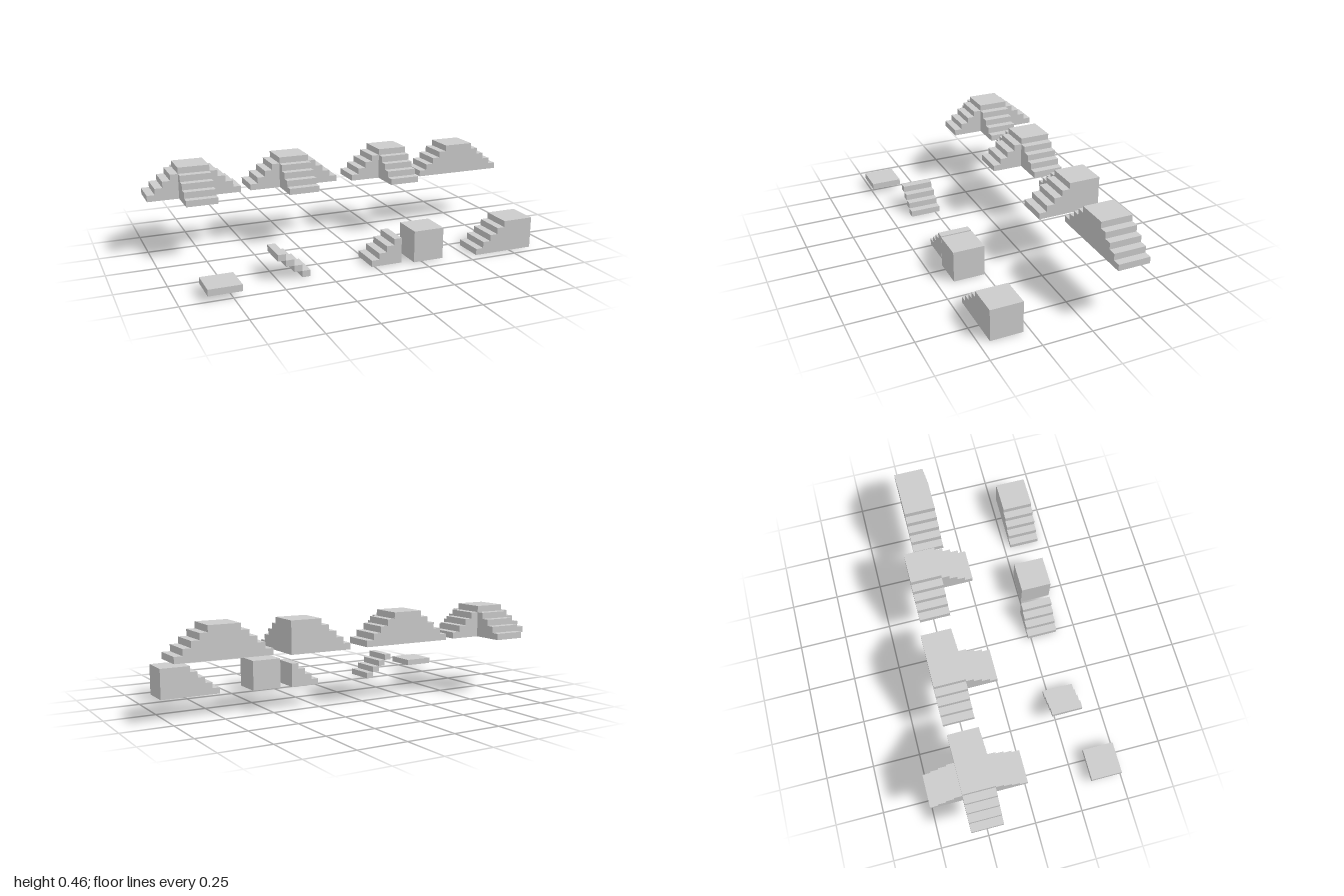
import * as THREE from 'three';

const U = 0.163;        // module size: every piece fits a cube of this size
const H = U / 2;
const STEPS = 4;
const TREAD = U / STEPS;
const RISE = U / (STEPS + 1);
const material = new THREE.MeshStandardMaterial({ color: 0xcccccc, flatShading: true });

function mesh(name, geometry) {
  const m = new THREE.Mesh(geometry, material);
  m.name = name;
  return m;
}

// Stepped outline going down and outwards from |x| = H to |x| = H + U
function stepPoints(side) {
  const pts = [];
  for (let i = 0; i < STEPS; i++) {
    const y = (STEPS - i) * RISE;
    pts.push([side * (H + i * TREAD), y], [side * (H + (i + 1) * TREAD), y]);
  }
  pts.push([side * (H + U), 0]);
  return pts;
}

// Extrude an outline one module deep, centred on z
function prism(name, pts) {
  const shape = new THREE.Shape(pts.map(([x, y]) => new THREE.Vector2(x, y)));
  const geometry = new THREE.ExtrudeGeometry(shape, { depth: U, bevelEnabled: false });
  geometry.translate(0, 0, -H);
  return mesh(name, geometry);
}

// Solid flight beside a core cube; angle 0 descends towards +x
function flight(name, angle) {
  const m = prism(name, [[H, 0], ...stepPoints(1)]);
  m.rotation.y = angle;
  return m;
}

// Core cube with solid steps on its left (-x) and / or right (+x) end
function run(name, minusX, plusX) {
  const right = plusX ? stepPoints(1) : [[H, 0]];
  const left = minusX ? stepPoints(-1).reverse() : [[-H, 0]];
  return prism(name, [[-H, U], [H, U], ...right, ...left]);
}

function piece(name, x, y, z, ...parts) {
  const g = new THREE.Group();
  g.name = name;
  g.add(...parts);
  g.position.set(x, y, z);
  return g;
}

export function createModel() {
  const model = new THREE.Group();
  model.name = 'modularStairSet';
  const front = -Math.PI / 2, back = Math.PI / 2;

  // Back row: raised stair combinations, placed by the centre of their core cube
  model.add(
    piece('crossStairs', -0.755, 0.295, -0.256,
      run('crossRun', true, true), flight('frontFlight', front), flight('backFlight', back)),
    piece('teeStairs', -0.212, 0.294, -0.265,
      run('teeRun', true, true), flight('frontFlight', front)),
    piece('cornerStairs', 0.363, 0.289, -0.25,
      run('cornerRun', true, false), flight('frontFlight', front)),
    piece('doubleStairs', 0.755, 0.287, -0.193, run('doubleRun', true, true)),
  );

  // Front row: single pieces
  const slab = mesh('slab', new THREE.BoxGeometry(U, RISE, U));
  slab.position.set(-0.787, 0.029 + RISE / 2, 0.5 - H);
  model.add(slab);

  // Open flight of separate treads descending towards +x
  const treads = [];
  for (let i = 0; i < STEPS; i++) {
    const t = mesh('tread', new THREE.BoxGeometry(TREAD, RISE, U));
    t.position.set((i + 0.5) * TREAD - H, (STEPS - i - 0.5) * RISE, 0);
    treads.push(t);
  }
  model.add(piece('openStairs', -0.419, 0.003, 0.307, ...treads));

  // Solid flight descending towards -x
  model.add(piece('solidStairs', -0.015 + H, 0.003, 0.314, flight('solidFlight', Math.PI)));
  model.getObjectByName('solidFlight').position.x = U;

  const cube = mesh('cube', new THREE.BoxGeometry(U, U, U));
  cube.position.set(0.29, H + 0.002, 0.335);
  model.add(cube);

  model.add(piece('halfStairs', 0.878 - H, 0.002, 0.366, run('halfRun', true, false)));

  // Stand the set on the ground
  model.position.y = -0.002;
  const root = new THREE.Group();
  root.name = 'stairSet';
  root.add(model);
  return root;
}
